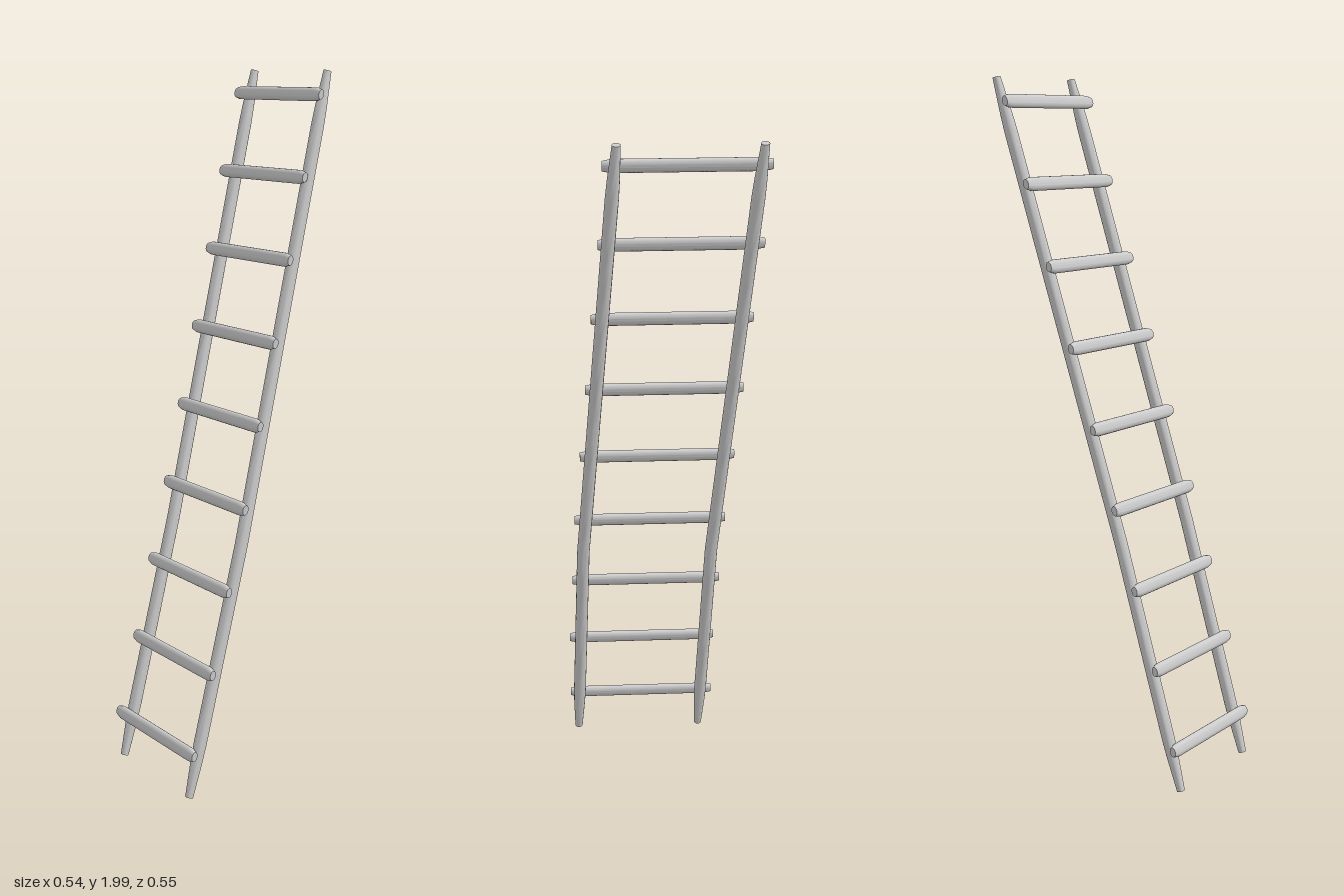
import * as THREE from 'three';
import { toCreasedNormals } from 'three/addons/utils/BufferGeometryUtils.js';

const TILT = Math.atan2(0.524, 1.994);
const RAIL_LENGTH = 2.055;
const RUNG_LENGTH = 0.444;
const RUNG_SHIFT = [0.0515, 0.0515, 0.04, 0.03, 0.012, -0.0055, -0.0235, -0.0435, -0.055];

// Sideways position of the ladder's centre line at distance t (0 to 1) along it
function centreLine(t) {
  return t < 0.35
    ? THREE.MathUtils.mapLinear(t, 0, 0.35, 0.06, 0.038)
    : THREE.MathUtils.mapLinear(t, 0.35, 1, 0.038, -0.06);
}

// Round pole along y whose ends narrow to endScale over the given taper length
function pole(radius, length, taper, endScale, bend = () => 0) {
  const segments = 40;
  const geo = new THREE.CylinderGeometry(radius, radius, length, 16, segments);
  const p = geo.attributes.position;
  for (let i = 0; i < p.count; i++) {
    const y = p.getY(i);
    const fromEnd = Math.min(1, (length / 2 - Math.abs(y)) / taper);
    const s = THREE.MathUtils.lerp(endScale, 1, fromEnd);
    p.setXYZ(i, p.getX(i) * s, y, p.getZ(i) * s + bend(y / length + 0.5));
  }
  return toCreasedNormals(geo, 0.7);
}

export function createModel() {
  const model = new THREE.Group();
  model.name = 'ladder';
  const material = new THREE.MeshStandardMaterial({ color: 0xcccccc });

  // Everything is laid out on an upright ladder, then leaned over
  const frame = new THREE.Group();
  frame.name = 'leaningFrame';
  frame.position.y = 1;
  frame.rotation.z = -TILT;
  model.add(frame);

  // Two bent side rails with tapered ends
  const railGeo = pole(0.0185, RAIL_LENGTH, 0.13, 0.62, centreLine);
  for (const side of [1, -1]) {
    const rail = new THREE.Mesh(railGeo, material);
    rail.name = side > 0 ? 'frontRail' : 'backRail';
    rail.position.z = side * 0.19;
    frame.add(rail);
  }

  // Flattened rungs fixed to the outer face of the rails
  const rungGeo = pole(0.0195, RUNG_LENGTH, 0.024, 0.72);
  rungGeo.scale(0.62, 1, 1).rotateX(Math.PI / 2);
  RUNG_SHIFT.forEach((z, i) => {
    const rung = new THREE.Mesh(rungGeo, material);
    rung.name = `rung${i + 1}`;
    rung.position.set(-0.027, 0.024 + (i - 4) * 0.2325, z);
    frame.add(rung);
  });

  return model;
}
